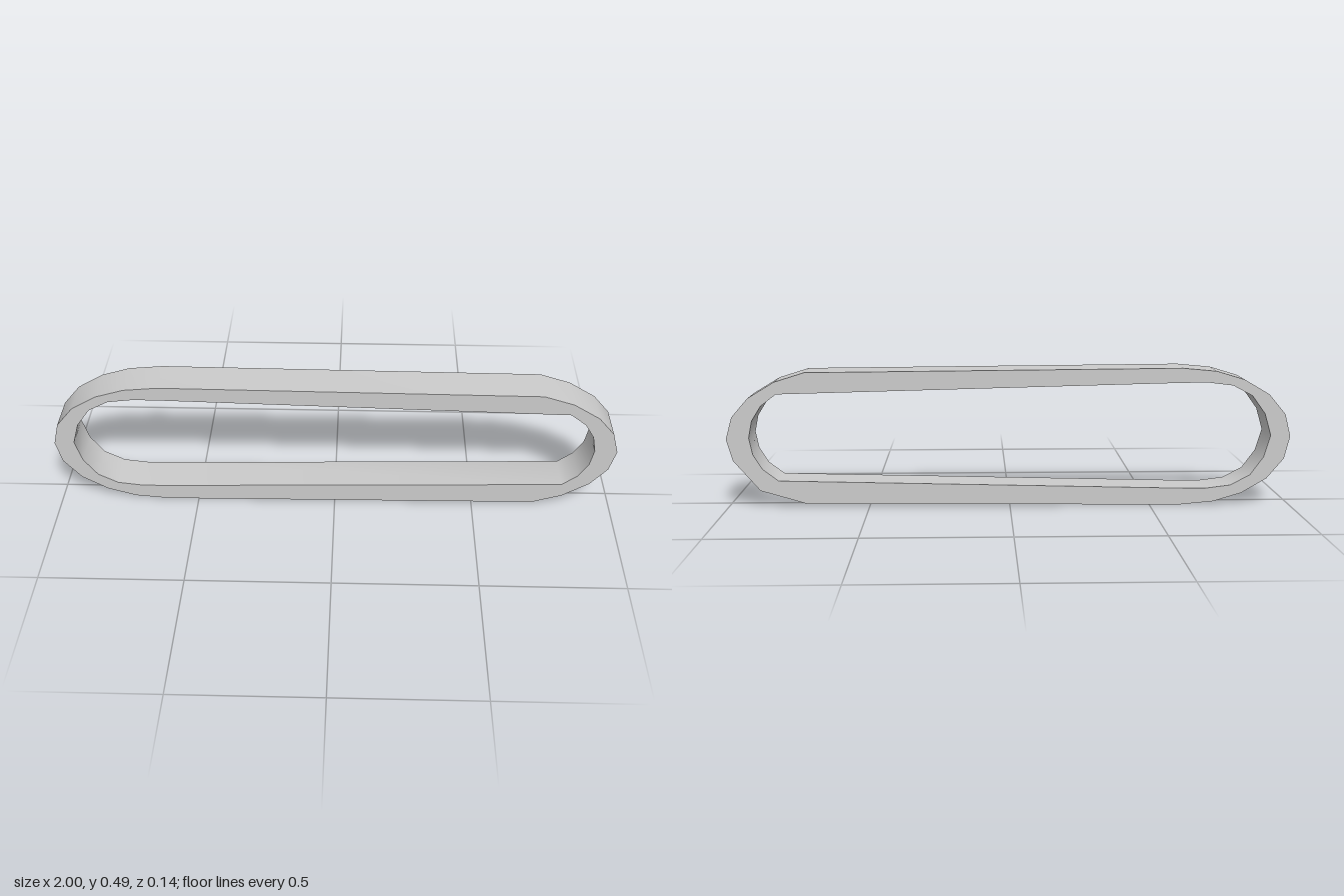
import * as THREE from 'three';
import { toCreasedNormals } from 'three/addons/utils/BufferGeometryUtils.js';

const MID = 0.246; // height of the outer symmetry line
const INNER_MID = 0.25; // the opening sits slightly higher
const DEPTH = 0.137;

// Upper half of each outline, left to right; heights are above the symmetry line
const OUTER = [
  [-1, 0], [-0.98, 0.08], [-0.92, 0.152], [-0.83, 0.205], [-0.73, 0.235], [-0.61, 0.246],
  [0.72, 0.235], [0.826, 0.202], [0.92, 0.145], [0.978, 0.078], [1, 0],
];
const INNER = [
  [-0.93, 0], [-0.907, 0.078], [-0.86, 0.143], [-0.79, 0.18], [-0.7, 0.191], [-0.6, 0.19],
  [0.82, 0.155], [0.875, 0.113], [0.908, 0.06], [0.92, 0],
];

// Closes a half outline by mirroring it downwards; runs clockwise
function loop(half, mid) {
  const lower = half.slice(1, -1).reverse().map(([x, y]) => [x, -y]);
  return [...half, ...lower].map(([x, y]) => new THREE.Vector2(x, mid + y));
}

export function createModel() {
  const group = new THREE.Group();
  group.name = 'beltLoop';

  // Outline and opening run in opposite directions so both walls face outwards
  const shape = new THREE.Shape(loop(OUTER, MID).reverse());
  shape.holes.push(new THREE.Path(loop(INNER, INNER_MID)));
  const extruded = new THREE.ExtrudeGeometry(shape, { depth: DEPTH, bevelEnabled: false, steps: 1 });
  extruded.translate(0, 0, -DEPTH / 2);

  // Smooth around the ends, sharp along the rims
  const geometry = toCreasedNormals(extruded, 0.8);

  // One lower corner bulges slightly outwards on the back rim
  const p = geometry.attributes.position;
  for (let i = 0; i < p.count; i++) {
    if (p.getZ(i) < 0 && Math.hypot(p.getX(i) - 0.826, p.getY(i) - (MID - 0.202)) < 0.005) {
      p.setXY(i, 0.885, 0.06);
    }
  }

  const belt = new THREE.Mesh(geometry, new THREE.MeshStandardMaterial({ color: 0xcccccc }));
  belt.name = 'belt';
  group.add(belt);
  return group;
}
